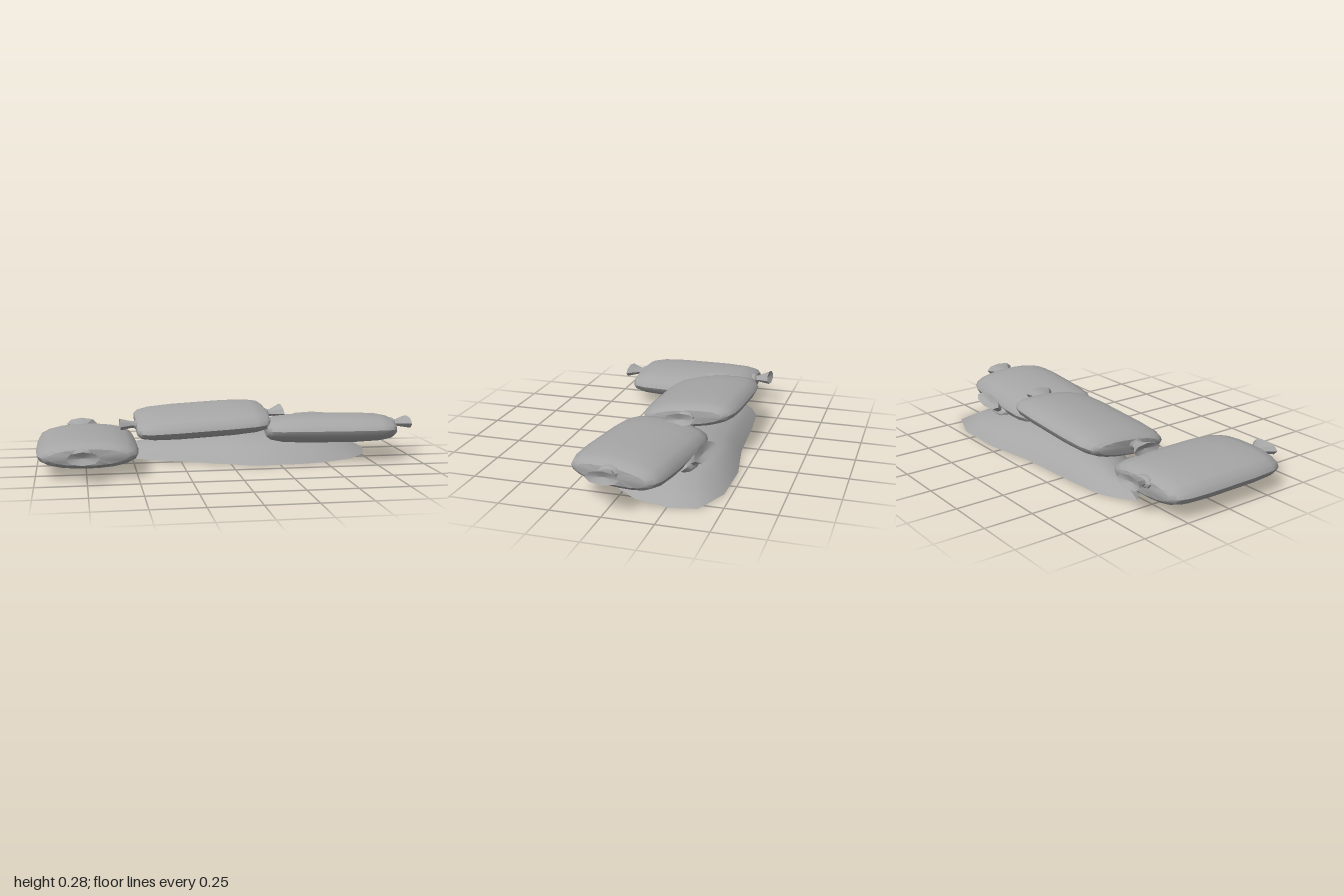
import * as THREE from 'three';
import { toCreasedNormals } from 'three/addons/utils/BufferGeometryUtils.js';

// Skin a list of equal-length closed rings of Vector3
function loft(rings, crease) {
  const n = rings[0].length, index = [];
  for (let i = 0; i < rings.length - 1; i++) {
    for (let j = 0; j < n; j++) {
      const k = (j + 1) % n;
      const a = i * n + j, b = a + n, c = (i + 1) * n + k, d = i * n + k;
      index.push(a, b, c, a, c, d);
    }
  }
  const g = new THREE.BufferGeometry().setFromPoints(rings.flat());
  g.setIndex(index);
  return toCreasedNormals(g, crease);
}

// Oval rings along x from [x, halfWidth(z), halfHeight(y)] stations
function ovalLoft(stations, sides, power, crease) {
  const bend = (v) => Math.sign(v) * Math.pow(Math.abs(v), power);
  const rings = stations.map(([x, w, h]) =>
    Array.from({ length: sides }, (_, j) => {
      const a = (j / sides) * Math.PI * 2;
      return new THREE.Vector3(x, h * bend(Math.sin(a)), w * bend(Math.cos(a)));
    }));
  return loft(rings, crease);
}

export function createModel() {
  const model = new THREE.Group();
  const cloth = new THREE.MeshStandardMaterial({ color: 0xa6a6a6, side: THREE.DoubleSide });
  cloth.name = 'grey';

  const add = (name, geometry, position, rotation = [0, 0, 0]) => {
    const mesh = new THREE.Mesh(geometry, cloth);
    mesh.name = name;
    mesh.position.set(...position);
    mesh.rotation.set(...rotation, 'YXZ');
    model.add(mesh);
    return mesh;
  };

  // Filled sacks: plump in the middle, blunt at both ends
  const profile = [[1, 0, 0], [0.99, 0.76, 0.5], [0.93, 0.89, 0.73], [0.76, 0.97, 0.89], [0.4, 1, 0.98]];
  const sack = (len, w, h) => {
    const half = profile.map(([x, a, b]) => [x * len, a * w, b * h]);
    const stations = [...half.map(([x, a, b]) => [-x, a, b]), ...half.slice().reverse()];
    return ovalLoft(stations, 18, 0.92, 0.75);
  };
  add('sideSack', sack(0.345, 0.255, 0.079), [-0.742, 0.11, 0.03], [0, Math.PI / 2, 0]);
  add('middleSack', sack(0.357, 0.25, 0.072), [-0.125, 0.2, -0.165], [0.11, 0, 0.055]);
  add('endSack', sack(0.345, 0.235, 0.079), [0.56, 0.155, -0.05], [-0.07, -0.12, 0.01]);

  // Tied ends: collar, pinched neck and flared, hollow mouth
  const knot = ovalLoft([
    [-0.03, 0.05, 0.03], [0.0, 0.056, 0.032], [0.014, 0.05, 0.028], [0.022, 0.03, 0.019],
    [0.04, 0.035, 0.019], [0.1, 0.083, 0.033], [0.08, 0, 0],
  ], 8, 1, 0.5);
  const q = Math.PI / 2;
  add('sideSackFrontKnot', knot, [-0.768, 0.122, 0.368], [0, -q, 0]);
  add('sideSackBackKnot', knot, [-0.762, 0.135, -0.305], [0, q, 0.2]);
  add('middleSackLeftKnot', knot, [-0.465, 0.185, -0.13], [0, Math.PI, 0]);
  add('middleSackRightKnot', knot, [0.225, 0.222, -0.16], [0.1, 0, 0.17]);
  add('endSackOuterKnot', knot, [0.892, 0.178, -0.005], [0, 0, 0.06]);
  add('endSackBackKnot', knot, [0.53, 0.11, -0.285], [0, q - 0.1, 0.75]).scale.set(0.95, 1.1, 1.6);

  // Low open-bottomed earth mound
  const outline = [
    [0.82, -0.26], [0.77, -0.08], [0.66, 0.06], [0.5, 0.13], [0.35, 0.16], [0.12, 0.165],
    [-0.05, 0.09], [-0.25, 0.0], [-0.42, -0.08], [-0.58, -0.18], [-0.68, -0.28], [-0.62, -0.33],
    [-0.51, -0.38], [-0.3, -0.4], [0.05, -0.42], [0.33, -0.468], [0.6, -0.465], [0.79, -0.39],
  ];
  const cx = 0.15, cz = -0.17;
  const levels = [[1, 0], [0.83, 0.06], [0.66, 0.09], [0.4, 0.115], [0, 0.13]];
  const moundRings = levels.map(([s, y]) =>
    outline.map(([x, z]) => new THREE.Vector3(cx + (x - cx) * s, y, cz + (z - cz) * s)));
  add('mound', loft(moundRings, 0.8), [0, 0, 0]);

  return model;
}
